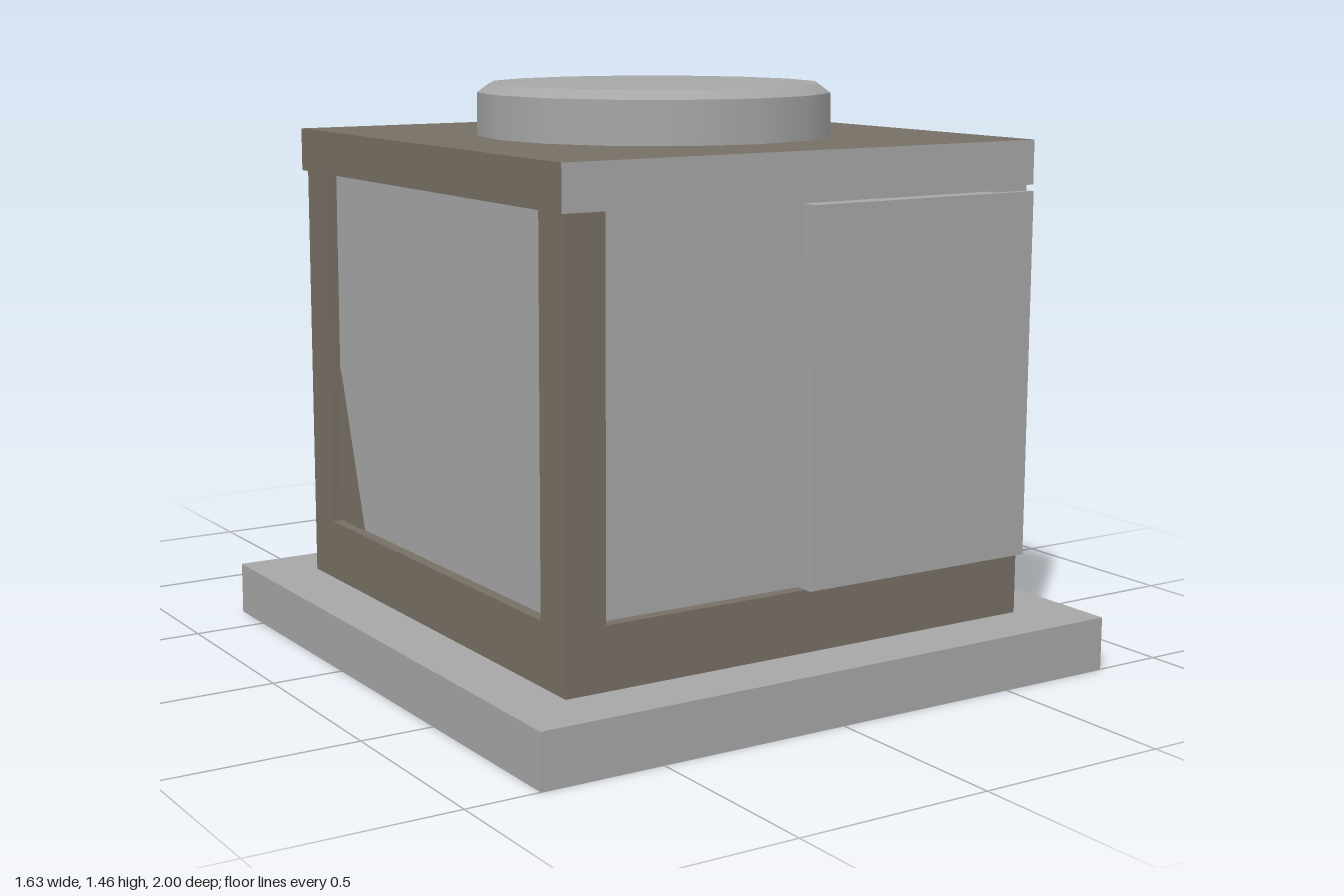
import * as THREE from 'three';

export function createModel() {
  const root = new THREE.Group();
  const grey = new THREE.MeshStandardMaterial({ color: 0xa6a6a6, side: THREE.DoubleSide });
  grey.name = 'concrete grey';
  const brown = new THREE.MeshStandardMaterial({ color: 0x766f64 });
  brown.name = 'weathered brown';

  const add = (name, geo, mat, parent = root) => {
    const m = new THREE.Mesh(geo, mat);
    m.name = name;
    parent.add(m);
    return m;
  };
  // box given by its limits on each axis
  const box = (name, [x0, x1], [y0, y1], [z0, z1], mat) => {
    const m = add(name, new THREE.BoxGeometry(x1 - x0, y1 - y0, z1 - z0), mat);
    m.position.set((x0 + x1) / 2, (y0 + y1) / 2, (z0 + z1) / 2);
    return m;
  };
  // round rod between two points
  const rod = (name, a, b, r, sides, parent) => {
    const p = new THREE.Vector3(...a), q = new THREE.Vector3(...b);
    const m = add(name, new THREE.CylinderGeometry(r, r, p.distanceTo(q), sides), grey, parent);
    m.position.copy(p).lerp(q, 0.5);
    m.quaternion.setFromUnitVectors(new THREE.Vector3(0, 1, 0), q.sub(p).normalize());
    return m;
  };

  // foundation slab, hollow and open underneath
  const slab = box('foundation', [-0.815, 0.815], [0, 0.135], [-0.635, 1], grey);
  const idx = Array.from(slab.geometry.index.array);
  idx.splice(18, 6);
  slab.geometry.setIndex(idx);
  slab.geometry.clearGroups();

  // plinth: brown, with a grey back
  box('plinth', [-0.66, 0.66], [0.135, 0.29], [-0.48, 0.845],
    [brown, brown, brown, brown, brown, grey]);

  // recessed wall panels
  box('wallPanels', [-0.63, 0.63], [0.29, 1.22], [-0.45, 0.815], grey);

  // corner posts
  for (const sx of [-1, 1]) {
    for (const z of [[-0.48, -0.37], [0.735, 0.845]]) {
      const x = sx < 0 ? [-0.66, -0.555] : [0.555, 0.66];
      box('cornerPost', x, [0.29, 1.22], z, sx < 0 ? brown : grey);
    }
  }

  // raised front door wrapping the corner
  box('door', [0, 0.665], [0.29, 1.205], [0.74, 0.865], grey);

  // exposed brown wedges at the lower corner of both side panels
  const wedge = new THREE.Shape([[0, 0], [0.14, 0], [0.015, 0.4], [0, 0.42]]
    .map(([x, y]) => new THREE.Vector2(x, y)));
  for (const [s, z] of [[1, 0.737], [-1, -0.37]]) {
    const m = add('sideWedge', new THREE.ShapeGeometry(wedge), brown);
    m.rotation.y = s * Math.PI / 2;
    m.position.set(s * 0.633, 0.29, z);
  }

  // roof slab with a grey front edge
  box('roof', [-0.672, 0.672], [1.22, 1.33], [-0.49, 0.855],
    [brown, brown, brown, brown, grey, brown]);

  // round hatch with a chamfered rim
  const hatch = new THREE.Group();
  hatch.name = 'roofHatch';
  hatch.position.set(0, 1.33, 0.18);
  root.add(hatch);
  add('hatchWall', new THREE.CylinderGeometry(0.45, 0.45, 0.108, 16, 1, true), grey, hatch).position.y = 0.054;
  add('hatchRim', new THREE.CylinderGeometry(0.42, 0.45, 0.022, 16, 1, true), grey, hatch).position.y = 0.119;
  const lid = add('hatchLid', new THREE.CircleGeometry(0.42, 16), grey, hatch);
  lid.rotation.x = -Math.PI / 2;
  lid.position.y = 0.13;

  // drum at the back, open underneath
  const drum = new THREE.Group();
  drum.name = 'drum';
  drum.position.set(0.405, 0, -0.835);
  root.add(drum);
  add('drumWall', new THREE.CylinderGeometry(0.165, 0.165, 0.33, 12, 1, true), grey, drum).position.y = 0.165;
  const top = add('drumTop', new THREE.CircleGeometry(0.165, 12), grey, drum);
  top.rotation.x = -Math.PI / 2;
  top.position.y = 0.33;

  // pipe mounting plate
  box('pipePlate', [0.217, 0.575], [0.38, 0.73], [-0.5, -0.45], grey);

  // bent pipes running from the plate down into the drum
  const pipe = (name, x, y, r, sides, zBend, drop) => {
    const g = new THREE.Group();
    g.name = name;
    root.add(g);
    const zEnd = -0.832;
    const pts = [[x, y, -0.49], [x, y, zBend], [x, y - drop, zEnd], [x, 0.32, zEnd]];
    for (let i = 0; i < 3; i++) rod('pipeSection', pts[i], pts[i + 1], r, sides, g);
    for (const p of pts.slice(1, 3)) {
      add('pipeElbow', new THREE.SphereGeometry(r, sides, 8), grey, g).position.set(...p);
    }
    return g;
  };
  const large = pipe('largePipe', 0.33, 0.64, 0.043, 12, -0.765, 0.07);
  rod('pipeCollar', [0.33, 0.64, -0.49], [0.33, 0.64, -0.595], 0.047, 12, large);
  rod('valveStem', [0.33, 0.64, -0.59], [0.33, 0.75, -0.59], 0.02, 6, large);

  const small = pipe('smallPipe', 0.475, 0.488, 0.012, 8, -0.77, 0.07);
  rod('pipeCollar', [0.475, 0.488, -0.49], [0.475, 0.488, -0.595], 0.034, 12, small);
  rod('valveStem', [0.475, 0.488, -0.59], [0.475, 0.58, -0.59], 0.014, 6, small);

  return root;
}
